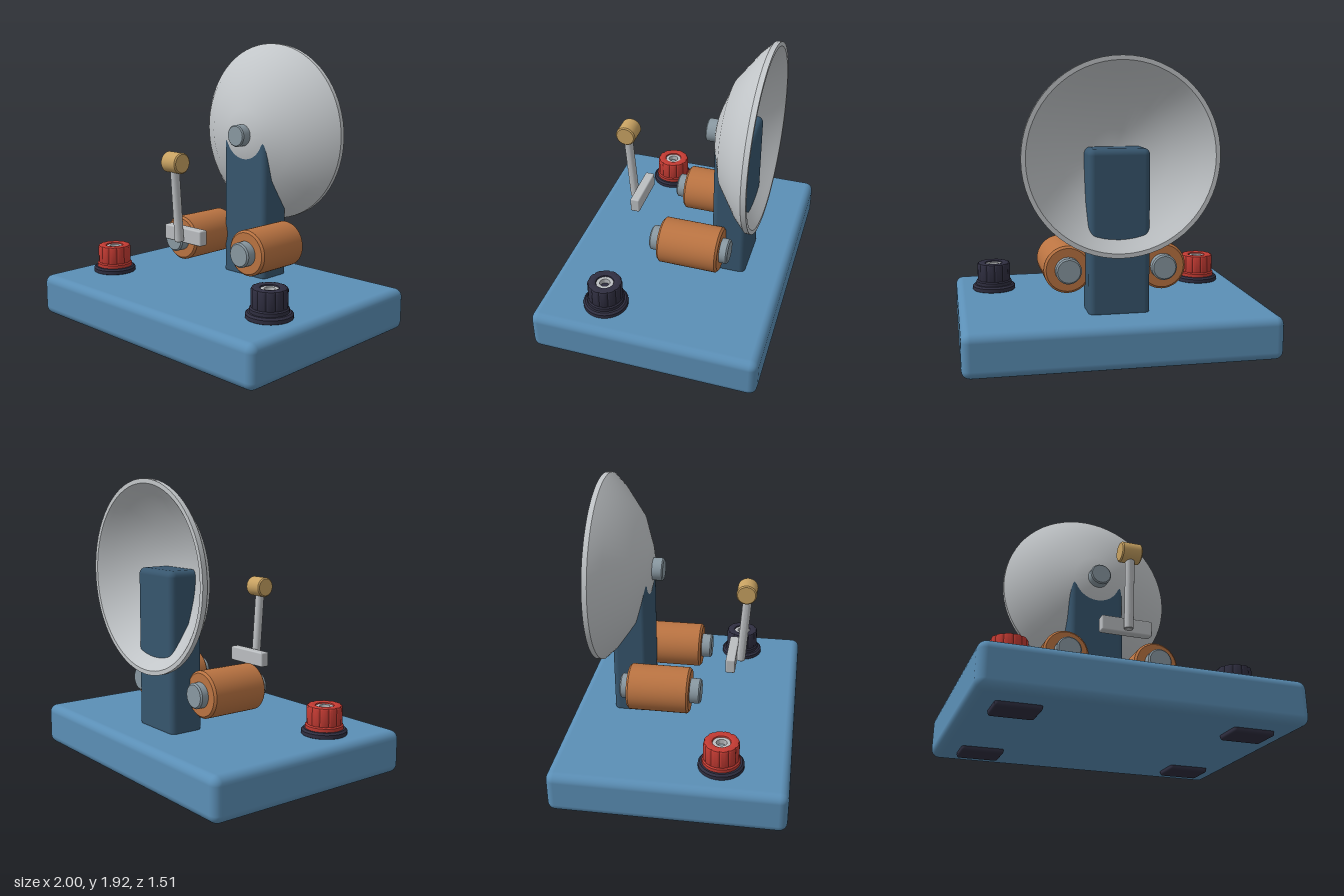
import * as THREE from 'three';
import { toCreasedNormals } from 'three/addons/utils/BufferGeometryUtils.js';
import { RoundedBoxGeometry } from 'three/addons/geometries/RoundedBoxGeometry.js';

function mat(name, color) {
  const m = new THREE.MeshStandardMaterial({ color });
  m.name = name;
  return m;
}

// Lathe with sharp edges kept, profile given as [radius, height] from bottom to top
function turned(profile, segments = 32, crease = 0.6) {
  const pts = profile.map(([r, y]) => new THREE.Vector2(r, y));
  return toCreasedNormals(new THREE.LatheGeometry(pts, segments), crease);
}

// Solid cylinder along y with small chamfers
function rod(r, y0, y1, bevel = 0.008, segments = 32) {
  return turned([[0, y0], [r - bevel, y0], [r, y0 + bevel], [r, y1 - bevel], [r - bevel, y1], [0, y1]], segments);
}

export function createModel() {
  const blue = mat('blue paint', 0x5b8fb6);
  const navy = mat('dark blue paint', 0x37566e);
  const silver = mat('bell metal', 0xc3c7ca);
  const steel = mat('steel', 0x8a99a2);
  const light = mat('light steel', 0xbbbec1);
  const copper = mat('copper', 0xbb7442);
  const brass = mat('brass', 0xc8a262);
  const red = mat('red plastic', 0xc23a32);
  const black = mat('black plastic', 0x2f2e40);

  const model = new THREE.Group();
  model.name = 'electricBell';
  const add = (name, geo, material, x = 0, y = 0, z = 0, parent = model) => {
    const mesh = new THREE.Mesh(geo, material);
    mesh.name = name;
    mesh.position.set(x, y, z);
    parent.add(mesh);
    return mesh;
  };

  // Base and four feet
  add('base', new RoundedBoxGeometry(2, 0.28, 1.515, 3, 0.055), blue, 0, 0.17, 0);
  for (const x of [-0.72, 0.72]) for (const z of [-0.47, 0.47]) {
    add('foot', new RoundedBoxGeometry(0.272, 0.06, 0.205, 2, 0.018), black, x, 0.03, z);
  }

  // Post carrying the bell
  add('post', new RoundedBoxGeometry(0.392, 1.07, 0.238, 3, 0.04), navy, 0, 0.815, -0.363);

  // Bell dish, open to the back
  const dish = turned([
    [0, -0.265], [0.16, -0.285], [0.35, -0.355], [0.515, -0.482], [0.565, -0.53], [0.59, -0.553],
    [0.618, -0.553], [0.618, -0.52], [0.545, -0.447], [0.365, -0.315], [0.172, -0.245], [0.1, -0.227], [0, -0.223],
  ], 64, 0.7).rotateX(Math.PI / 2);
  add('bellDish', dish, silver, 0, 1.3, 0);
  add('bellHub', rod(0.075, -0.25, -0.155).rotateX(Math.PI / 2), steel, 0, 1.3, 0);

  // Electromagnet coils with their cores
  for (const x of [-0.31, 0.31]) {
    add('coil', rod(0.153, -0.345, 0.067, 0.014, 40).rotateX(Math.PI / 2), copper, x, 0.575, 0);
    add('coilCore', rod(0.083, -0.4, 0.137, 0.01).rotateX(Math.PI / 2), steel, x, 0.575, 0);
  }

  // Armature bar, striker arm and hammer
  add('armature', new RoundedBoxGeometry(0.336, 0.1, 0.064, 2, 0.01), light, 0, 0.694, 0.311);
  const arm = add('strikerArm', rod(0.03, -0.25, 0.25, 0.004, 20), light, 0, 0.907, 0.385);
  arm.rotation.x = Math.atan2(0.035, 0.49);
  add('hammer', rod(0.067, -0.068, 0.068, 0.008).rotateZ(Math.PI / 2), brass, 0, 1.178, 0.397);

  // Fluted terminal knob with an open middle
  const shape = new THREE.Shape();
  const n = 96;
  for (let i = 0; i < n; i++) {
    const a = (i / n) * Math.PI * 2;
    const r = 0.099 - 0.007 * Math.pow(Math.abs(Math.cos(a * 6)), 6);
    if (i) shape.lineTo(r * Math.cos(a), r * Math.sin(a));
    else shape.moveTo(r * Math.cos(a), r * Math.sin(a));
  }
  shape.holes.push(new THREE.Path().absarc(0, 0, 0.07, 0, Math.PI * 2, true));
  const fluted = toCreasedNormals(new THREE.ExtrudeGeometry(shape, {
    depth: 0.115, bevelThickness: 0.015, bevelSize: 0.015, bevelSegments: 2, curveSegments: 24,
  }).rotateX(-Math.PI / 2), 0.5);

  for (const [x, color, label] of [[-0.74, red, 'red'], [0.74, black, 'black']]) {
    const terminal = new THREE.Group();
    terminal.name = label + 'Terminal';
    terminal.position.set(x, 0, 0.32);
    model.add(terminal);
    add('terminalFlange', rod(0.147, 0.3, 0.348, 0.012, 40), black, 0, 0, 0, terminal);
    add('terminalCollar', rod(0.122, 0.34, 0.378, 0.008, 40), color, 0, 0, 0, terminal);
    add('terminalKnob', fluted, color, 0, 0.37, 0, terminal);
    // Metal socket sunk in the knob
    add('terminalSocket', turned([[0.034, 0.45], [0.034, 0.488], [0.056, 0.488], [0.056, 0.37]].reverse(), 24),
      light, 0, 0, 0, terminal);
    add('terminalBore', rod(0.034, 0.37, 0.455, 0.002, 24), color === red ? steel : black, 0, 0, 0, terminal);
  }
  return model;
}
